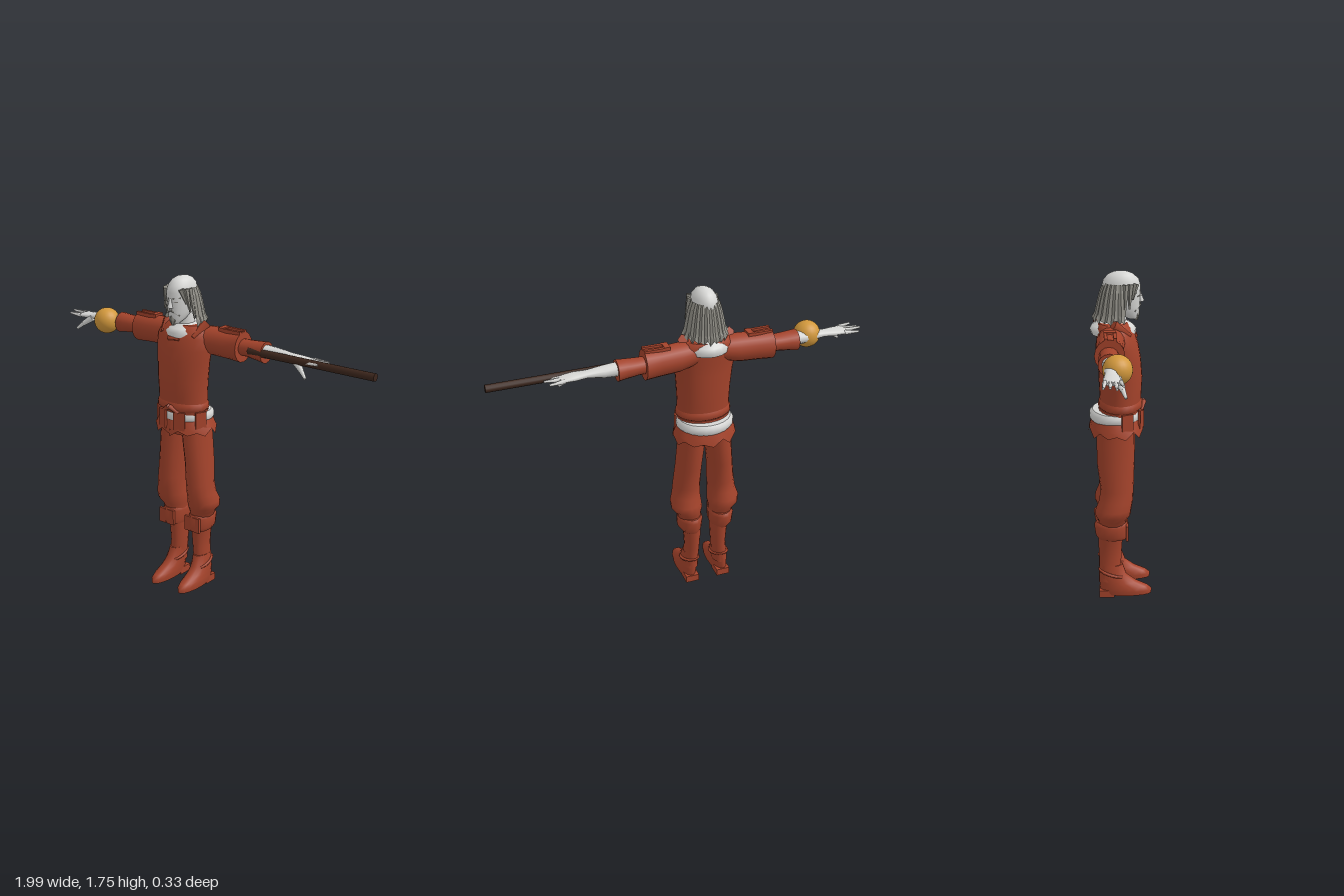
import * as THREE from 'three';

const mat = (name, color, extra = {}) => {
  const m = new THREE.MeshStandardMaterial({ color, ...extra });
  m.name = name;
  return m;
};

// Loft of elliptical rings. Row: [position on axis, centre u, centre v, radius u, radius v]
// axis 'y' uses u = x, v = z; axis 'x' uses u = y, v = z.
function loft(axis, rows, n = 16) {
  const pos = [], idx = [];
  const put = (a, u, v) => (axis === 'y' ? pos.push(u, a, v) : pos.push(a, u, v));
  const flip = (axis === 'x') !== (rows[1][0] < rows[0][0]);
  const tri = (a, b, c) => (flip ? idx.push(a, c, b) : idx.push(a, b, c));
  const ring = ([a, cu, cv, ru, rv]) => {
    for (let j = 0; j < n; j++) {
      const t = (j / n) * Math.PI * 2;
      put(a, cu + ru * Math.cos(t), cv + rv * Math.sin(t));
    }
  };
  rows.forEach(ring);
  for (let i = 0; i < rows.length - 1; i++) {
    for (let j = 0; j < n; j++) {
      const a = i * n + j, b = i * n + ((j + 1) % n);
      tri(a, a + n, b);
      tri(b, a + n, b + n);
    }
  }
  // Caps with their own vertices keep the rims sharp
  [rows[0], rows[rows.length - 1]].forEach((r, end) => {
    const s = pos.length / 3;
    ring(r);
    put(r[0], r[1], r[2]);
    for (let j = 0; j < n; j++) {
      const k = s + ((j + 1) % n);
      if (end) tri(s + j, s + n, k); else tri(s + j, k, s + n);
    }
  });
  const g = new THREE.BufferGeometry();
  g.setAttribute('position', new THREE.Float32BufferAttribute(pos, 3));
  g.setIndex(idx);
  g.computeVertexNormals();
  return g;
}

// Tapered rod between two points
function rod(p, q, r0, r1, n = 8) {
  const a = new THREE.Vector3(...p), b = new THREE.Vector3(...q), d = b.clone().sub(a);
  const g = new THREE.CylinderGeometry(r1, r0, d.length(), n);
  g.applyQuaternion(new THREE.Quaternion().setFromUnitVectors(new THREE.Vector3(0, 1, 0), d.normalize()));
  return g.translate(...a.add(b).multiplyScalar(0.5).toArray());
}

const box = (w, h, d, x, y, z) => new THREE.BoxGeometry(w, h, d).translate(x, y, z);

// Open lathe shell whose lowest row is cut into points
function jagged(profile, segs, start, length, depth, ridge, zScale, zShift) {
  const g = new THREE.LatheGeometry(profile.map(([r, y]) => new THREE.Vector2(r, y)), segs, start, length);
  const p = g.attributes.position, n = profile.length;
  for (let i = 0; i < p.count; i++) {
    const col = Math.floor(i / n), row = i % n, k = 1 + (col % 2 ? ridge : 0);
    const cut = row === 0 ? (col % 2 ? depth : 0) + (col % 3) * depth * 0.25 : 0;
    p.setXYZ(i, p.getX(i) * k, p.getY(i) + cut, p.getZ(i) * k * zScale + zShift);
  }
  g.computeVertexNormals();
  return g;
}

export function createModel() {
  const cloth = mat('red cloth', 0xa4432b, { side: THREE.DoubleSide });
  const skin = mat('pale skin', 0xd6d6d4);
  const hair = mat('grey hair', 0x8e8c84, { side: THREE.DoubleSide, flatShading: true });
  const gold = mat('gold orb', 0xd2983c);
  const wood = mat('dark wood', 0x3c261c);

  const model = new THREE.Group();
  const body = new THREE.Group();
  body.name = 'figure';
  body.position.x = -0.135;
  model.add(body);
  const add = (name, geo, m, parent = body) => {
    const mesh = new THREE.Mesh(geo, m);
    mesh.name = name;
    parent.add(mesh);
    return mesh;
  };

  // Tunic
  add('tunic', loft('y', [
    [1.05, 0, 0, 0.142, 0.104], [1.12, 0, 0, 0.142, 0.108], [1.2, 0, 0, 0.146, 0.112],
    [1.3, 0, -0.005, 0.155, 0.109], [1.37, 0, -0.012, 0.165, 0.104], [1.43, 0, -0.025, 0.168, 0.1],
    [1.47, 0, -0.035, 0.15, 0.09], [1.492, 0, -0.04, 0.11, 0.075]], 24), cloth);

  // White collar, with red points over it
  add('collar', loft('y', [[1.43, 0, -0.035, 0.115, 0.112], [1.455, 0, -0.038, 0.115, 0.118],
    [1.475, 0, -0.04, 0.095, 0.105], [1.5, 0, -0.04, 0.055, 0.065]], 16), skin);
  for (const s of [-1, 1]) {
    add('collarFlap', rod([s * 0.125, 1.5, -0.04], [s * 0.1, 1.44, 0.045], 0.03, 0.012, 5), cloth);
  }
  add('collarLace', rod([-0.035, 1.425, 0.075], [0.035, 1.425, 0.075], 0.012, 0.006, 5), cloth);

  // Waist roll, white sash and tattered skirt
  add('waistRoll', loft('y', [[1.035, 0, 0, 0.135, 0.1], [1.05, 0, 0, 0.15, 0.115],
    [1.075, 0, 0, 0.147, 0.113], [1.095, 0, 0, 0.13, 0.1]], 24), cloth);
  add('waistKnot', rod([-0.05, 1.035, 0.105], [0, 1.068, 0.12], 0.01, 0.014, 6), cloth);
  add('waistKnot', rod([0.05, 1.035, 0.105], [0, 1.068, 0.12], 0.01, 0.014, 6), cloth);
  add('hips', loft('y', [[0.9, 0, -0.025, 0.135, 0.1], [0.97, 0, -0.02, 0.142, 0.105],
    [1.04, 0, -0.005, 0.142, 0.105]], 20), cloth);
  add('sash', loft('y', [[0.975, 0, -0.028, 0.14, 0.122], [0.99, 0, -0.028, 0.153, 0.132],
    [1.015, 0, -0.028, 0.153, 0.132], [1.03, 0, -0.024, 0.14, 0.12]], 24), skin);
  add('skirt', jagged([[0.172, 0.9], [0.164, 0.95], [0.148, 0.99]], 20, 0, Math.PI * 2, 0.03, 0.02, 0.83, -0.022), cloth);
  for (const a of [-1.15, -0.36, 0.36, 1.15]) {
    const tab = add('skirtTab', new THREE.BoxGeometry(0.062, 0.1, 0.012), cloth);
    tab.position.set(Math.sin(a) * 0.155, 0.99, -0.025 + Math.cos(a) * 0.138);
    tab.rotation.y = a;
  }

  // Neck, head and face
  add('neck', loft('y', [[1.42, 0, -0.03, 0.055, 0.055], [1.57, 0, -0.015, 0.045, 0.05]], 12), skin);
  add('head', loft('y', [
    [1.505, 0, 0.06, 0.018, 0.022], [1.53, 0, 0.042, 0.042, 0.048], [1.57, 0, 0.018, 0.058, 0.079],
    [1.62, 0, 0.008, 0.065, 0.092], [1.67, 0, 0.004, 0.068, 0.097], [1.705, 0, 0.003, 0.061, 0.088],
    [1.73, 0, 0.002, 0.044, 0.064], [1.742, 0, 0.002, 0.024, 0.036], [1.746, 0, 0.002, 0.004, 0.006]], 20), skin);
  add('nose', rod([0, 1.592, 0.104], [0, 1.645, 0.094], 0.015, 0.006, 6), skin);
  add('beard', loft('y', [[1.497, 0, 0.078, 0.007, 0.01], [1.525, 0, 0.066, 0.026, 0.03],
    [1.548, 0, 0.068, 0.014, 0.028]], 8), hair);
  for (const s of [-1, 1]) {
    add('eyebrow', rod([s * 0.012, 1.638, 0.096], [s * 0.046, 1.645, 0.074], 0.006, 0.003, 5), hair);
    add('eye', rod([s * 0.018, 1.624, 0.096], [s * 0.038, 1.624, 0.084], 0.003, 0.003, 5), hair);
    add('moustache', rod([s * 0.004, 1.58, 0.098], [s * 0.038, 1.548, 0.07], 0.007, 0.004, 5), hair);
    // Locks hanging beside the face
    [[0.05, 0.075, 0.072, 1.615, 0.058], [0.062, 0.05, 0.084, 1.57, 0.042],
      [0.067, 0.025, 0.094, 1.535, 0.018]].forEach(([x, z, x2, y2, z2]) =>
      add('faceLock', rod([s * x, 1.69, z], [s * x2, y2, z2], 0.016, 0.005, 5), hair));
  }
  add('longHair', jagged([[0.114, 1.49], [0.103, 1.54], [0.092, 1.6], [0.081, 1.65], [0.067, 1.69]],
    26, Math.PI * 0.44, Math.PI * 1.12, 0.02, 0.06, 1.15, -0.005), hair);

  for (const s of [-1, 1]) {
    const side = s > 0 ? 'left' : 'right';
    const alongX = (rows, n) => loft('x', rows.map(([x, ...r]) => [s * x, ...r]), n);
    const along = (p, q, a, b, n) => rod([s * p[0], p[1], p[2]], [s * q[0], q[1], q[2]], a, b, n);

    // Arm: wide upper sleeve, narrow lower sleeve, forearm
    const arm = new THREE.Group();
    arm.name = side + 'Arm';
    body.add(arm);
    add('upperSleeve', alongX([[0.06, 1.425, -0.045, 0.06, 0.07], [0.16, 1.416, -0.055, 0.075, 0.072],
      [0.26, 1.411, -0.06, 0.075, 0.068], [0.345, 1.41, -0.062, 0.08, 0.074]], 16), cloth, arm);
    add('lowerSleeve', alongX([[0.3, 1.41, -0.065, 0.042, 0.046], [0.38, 1.41, -0.065, 0.044, 0.05],
      [0.44, 1.408, -0.065, 0.05, 0.053], [0.487, 1.406, -0.065, 0.056, 0.056]], 14), cloth, arm);
    for (const z of [-0.08, -0.035]) {
      add('shoulderStrap', box(0.13, 0.025, 0.016, s * 0.28, 1.483, z), cloth, arm);
    }
    add('shoulderStrapEnd', box(0.03, 0.03, 0.06, s * 0.225, 1.483, -0.058), cloth, arm);
    add('forearm', alongX([[0.46, 1.412, -0.062, 0.037, 0.041], [0.55, 1.412, -0.062, 0.031, 0.036],
      [0.64, 1.414, -0.062, 0.018, 0.028], [0.7, 1.412, -0.059, 0.017, 0.04],
      [0.755, 1.41, -0.056, 0.014, 0.045], [0.775, 1.409, -0.056, 0.009, 0.04]], 12), skin, arm);

    // Fingers fan out; the thumb points down and forward
    [0.835, 0.855, 0.85, 0.825].forEach((x, i) => {
      const z = -0.092 + i * 0.024, zEnd = -0.1 + i * 0.03;
      add('finger', along([0.755, 1.411, z], [x, 1.408 + (i % 2) * 0.008, zEnd], 0.012, 0.006, 6), skin, arm);
    });
    add('thumb', along([0.68, 1.405, -0.035], [0.735, 1.366, -0.012], 0.02, 0.013, 7), skin, arm);
    add('thumbTip', along([0.73, 1.37, -0.013], [0.765, 1.338, 0.002], 0.013, 0.007, 7), skin, arm);

    // Leg: baggy trousers gathered under the knee
    const leg = new THREE.Group();
    leg.name = side + 'Leg';
    body.add(leg);
    const upright = (rows, n) => loft('y', rows.map(([y, x, ...r]) => [y, s * x, ...r]), n);
    add('trouserLeg', upright([[0.41, 0.088, -0.045, 0.06, 0.068], [0.45, 0.095, -0.045, 0.07, 0.076],
      [0.48, 0.105, -0.042, 0.085, 0.093], [0.515, 0.108, -0.038, 0.085, 0.093],
      [0.56, 0.103, -0.025, 0.076, 0.088], [0.62, 0.098, -0.02, 0.073, 0.086],
      [0.75, 0.088, -0.026, 0.068, 0.096], [0.87, 0.076, -0.026, 0.07, 0.099],
      [0.95, 0.07, -0.025, 0.07, 0.098]], 16), cloth, leg);

    // Boot with folded cuff, tabs, ankle strap and heel
    add('bootCuff', upright([[0.335, 0.086, -0.042, 0.052, 0.078], [0.36, 0.09, -0.046, 0.066, 0.088],
      [0.415, 0.09, -0.05, 0.069, 0.092], [0.432, 0.088, -0.048, 0.058, 0.08]], 14), cloth, leg);
    for (const dx of [-0.036, 0.022]) {
      add('cuffTab', box(0.042, 0.085, 0.014, s * 0.09 + dx, 0.38, 0.032), cloth, leg);
    }
    add('bootShaft', upright([[0.09, 0.088, -0.058, 0.043, 0.057], [0.15, 0.084, -0.056, 0.042, 0.058],
      [0.22, 0.078, -0.056, 0.04, 0.06], [0.3, 0.078, -0.056, 0.046, 0.064],
      [0.36, 0.082, -0.052, 0.05, 0.068]], 14), cloth, leg);
    add('bootFoot', upright([[0.012, 0.094, 0.03, 0.045, 0.134], [0.035, 0.094, 0.028, 0.049, 0.138],
      [0.055, 0.093, 0.015, 0.048, 0.127], [0.08, 0.091, -0.015, 0.046, 0.1],
      [0.12, 0.088, -0.042, 0.044, 0.073], [0.18, 0.083, -0.052, 0.04, 0.062]], 18), cloth, leg);
    add('bootHeel', box(0.075, 0.04, 0.08, s * 0.092, 0.02, -0.075), cloth, leg);
    const strap = add('ankleStrap', new THREE.TorusGeometry(0.047, 0.008, 6, 18), cloth, leg);
    strap.scale.y = 1.45;
    strap.rotation.x = Math.PI / 2 + 0.3;
    strap.position.set(s * 0.087, 0.13, -0.045);
  }

  // Orb at the right wrist and staff in the left hand
  add('orb', new THREE.SphereGeometry(0.071, 24, 16).translate(-0.7, 1.41, -0.03), gold, model);
  add('staff', rod([0.27, 1.41, -0.028], [1, 1.41, -0.028], 0.02, 0.02, 12), wood, model);
  return model;
}
